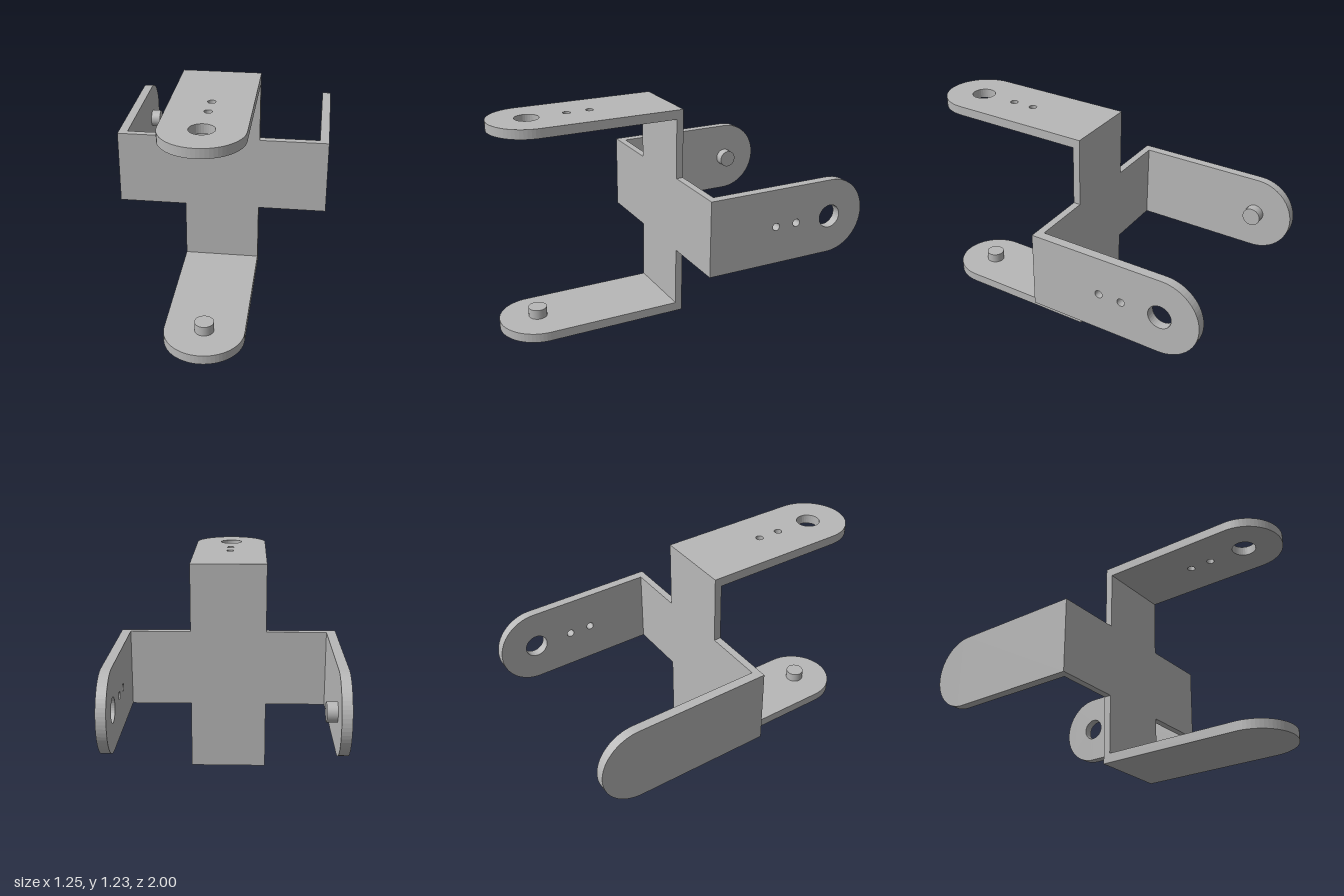
import * as THREE from 'three';

const HALF_W = 0.22;      // half the width of every strap
const T = 0.053;          // arm thickness
const H = 1.231;          // overall height
const R = 0.6185;         // half span across the side arms
const BACK = -0.04, FRONT = 0.001; // faces of the cross plate

export function createModel() {
  const grey = new THREE.MeshStandardMaterial({ color: 0xb8b8b8 });
  grey.name = 'plain grey';

  const circle = (y, r) => new THREE.Path().absarc(0, y, r, 0, Math.PI * 2, true);

  // Round-ended arm lying along +z, with its underside on y = 0
  function arm(name, length, pierced) {
    const group = new THREE.Group();
    group.name = name;
    const c = length - HALF_W;
    const shape = new THREE.Shape();
    shape.moveTo(-HALF_W, 0);
    shape.lineTo(HALF_W, 0);
    shape.lineTo(HALF_W, c);
    shape.absarc(0, c, HALF_W, 0, Math.PI, false);
    shape.lineTo(-HALF_W, 0);
    if (pierced) {
      shape.holes.push(circle(c, 0.067), circle(c - 0.224, 0.022), circle(c - 0.357, 0.022));
    }
    const geo = new THREE.ExtrudeGeometry(shape, { depth: T, bevelEnabled: false, curveSegments: 16 });
    geo.rotateX(Math.PI / 2).translate(0, T, 0);
    const strap = new THREE.Mesh(geo, grey);
    strap.name = name + 'Strap';
    group.add(strap);
    if (!pierced) {
      // pivot peg on the inner face
      const peg = new THREE.Mesh(new THREE.CylinderGeometry(0.053, 0.053, 0.056, 24), grey);
      peg.name = name + 'Peg';
      peg.position.set(0, T + 0.028, c);
      group.add(peg);
    }
    return group;
  }

  const bracket = new THREE.Group();
  bracket.name = 'bracket';

  // Cross-shaped centre plate, ending where the arms begin
  const w = HALF_W, x = R - T, y = H / 2 - T;
  const cross = new THREE.Shape([
    [-w, -y], [w, -y], [w, -w], [x, -w], [x, w], [w, w],
    [w, y], [-w, y], [-w, w], [-x, w], [-x, -w], [-w, -w],
  ].map(([a, b]) => new THREE.Vector2(a, b)));
  const plate = new THREE.Mesh(
    new THREE.ExtrudeGeometry(cross, { depth: FRONT - BACK, bevelEnabled: false }), grey);
  plate.name = 'crossPlate';
  plate.position.set(0, H / 2, BACK);
  bracket.add(plate);

  // Forward pair: peg below, hole above
  const lower = arm('lowerArm', 1.04, false);
  lower.position.set(0, 0, BACK);
  const upper = arm('upperArm', 1.04, true);
  upper.position.set(0, H - T, BACK);

  // Rearward pair: turned on edge and pointing to -z
  const turn = new THREE.Matrix4().makeBasis(
    new THREE.Vector3(0, 1, 0), new THREE.Vector3(1, 0, 0), new THREE.Vector3(0, 0, -1));
  const right = arm('rightArm', 0.991, false);
  right.position.set(-R, H / 2, FRONT);
  const left = arm('leftArm', 0.991, true);
  left.position.set(R - T, H / 2, FRONT);
  for (const a of [right, left]) a.quaternion.setFromRotationMatrix(turn);
  bracket.add(lower, upper, right, left);

  // The whole bracket sits very slightly turned
  bracket.rotation.y = -0.0155;
  bracket.position.x = -0.009;

  const model = new THREE.Group();
  model.name = 'crossBracket';
  model.add(bracket);
  return model;
}
